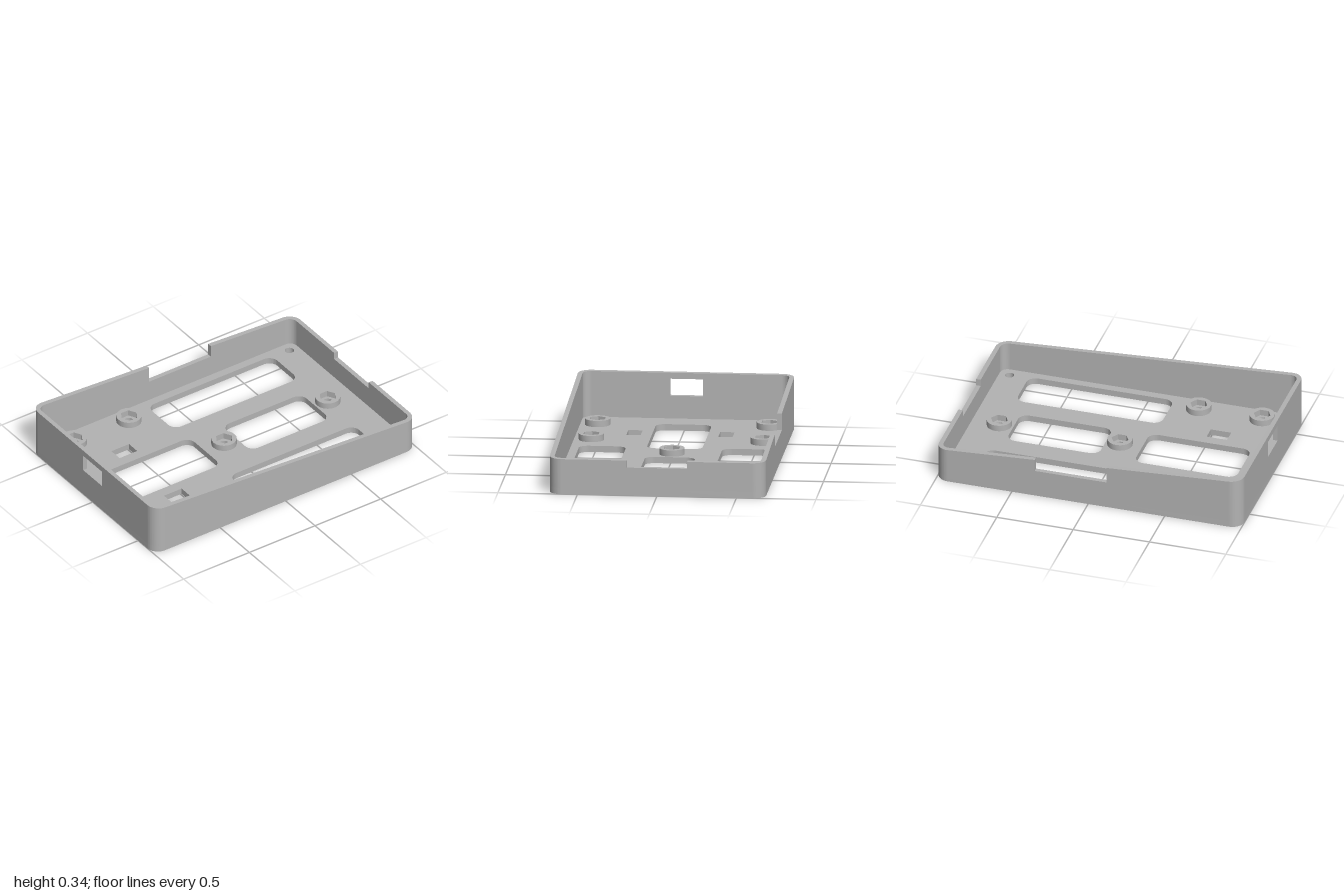
import * as THREE from 'three';
import { toCreasedNormals } from 'three/addons/utils/BufferGeometryUtils.js';

const HX = 1, HZ = 0.68;          // half length and half depth
const R = 0.08, WALL = 0.03;      // corner radius, wall thickness
const FLOOR = 0.04, BOSS_TOP = 0.08, NOTCH = 0.18;
const rimHeight = (x) => 0.28 - 0.055 * x;

const extrude = (shape, depth) =>
  new THREE.ExtrudeGeometry(shape, { depth, bevelEnabled: false, curveSegments: 10 });

// plan outline lying flat, raised between two heights
const slab = (shape, y0, y1) =>
  extrude(shape, y1 - y0).rotateX(-Math.PI / 2).translate(0, y0, 0);

function roundedRect(path, x0, z0, x1, z1, r) {
  path.absarc(x1 - r, z1 - r, r, 0, Math.PI / 2);
  path.absarc(x0 + r, z1 - r, r, Math.PI / 2, Math.PI);
  path.absarc(x0 + r, z0 + r, r, Math.PI, Math.PI * 1.5);
  path.absarc(x1 - r, z0 + r, r, Math.PI * 1.5, Math.PI * 2);
  path.closePath();
  return path;
}

const polygon = (pts, Type = THREE.Shape) => new Type(pts.map(([x, y]) => new THREE.Vector2(x, y)));
const rectPts = (x0, y0, x1, y1) => [[x0, y0], [x1, y0], [x1, y1], [x0, y1]];
const circle = (x, y, r) => new THREE.Path().absarc(x, y, r, 0, Math.PI * 2);

// move every vertex above the given level onto the sloping rim
function slopeTop(geometry, level) {
  const p = geometry.attributes.position;
  for (let i = 0; i < p.count; i++) if (p.getY(i) > level) p.setY(i, rimHeight(p.getX(i)));
  return geometry;
}

export function createModel() {
  const model = new THREE.Group();
  model.name = 'enclosureBase';
  const grey = new THREE.MeshStandardMaterial({ color: 0xb3b3b3 });
  grey.name = 'grey plastic';

  const add = (name, geometry) => {
    const mesh = new THREE.Mesh(toCreasedNormals(geometry, 0.5), grey);
    mesh.name = name;
    model.add(mesh);
  };

  const bosses = [[-0.765, 0.54], [-0.765, -0.54], [-0.35, 0.54], [-0.35, -0.54], [0, 0], [0.79, 0]];

  // floor plate with its openings
  const floor = roundedRect(new THREE.Shape(), -HX, -HZ, HX, HZ, R);
  const opening = (...box) => floor.holes.push(roundedRect(new THREE.Path(), ...box, 0.06));
  opening(-0.81, -0.175, -0.143, 0.175);
  opening(0.093, -0.158, 0.698, 0.158);
  for (const s of [-1, 1]) {
    const z = 0.45 * s;
    opening(-0.173, z - 0.147, 0.778, z + 0.147);
    floor.holes.push(polygon(rectPts(-0.626, 0.289 * s - 0.045, -0.492, 0.289 * s + 0.045), THREE.Path));
    for (const x of [-0.902, 0.902]) floor.holes.push(circle(x, 0.583 * s, 0.029));
  }
  for (const [x, z] of bosses) floor.holes.push(circle(x, z, 0.029));
  add('floor', slab(floor, 0, FLOOR));

  // raised bosses with hexagonal nut recesses
  const hex = Array.from({ length: 6 }, (_, i) =>
    [0.055 * Math.cos(i * Math.PI / 3), 0.055 * Math.sin(i * Math.PI / 3)]);
  for (const [x, z] of bosses) {
    const ring = new THREE.Shape().absarc(0, 0, 0.08, 0, Math.PI * 2);
    ring.holes.push(polygon(hex, THREE.Path));
    add('nutBoss', slab(ring, FLOOR, BOSS_TOP).translate(x, 0, z));
  }

  // front wall, and back wall with a notch in its rim
  const a = HX - R, b = HZ - R;
  const ends = [[-a, FLOOR], [a, FLOOR], [a, rimHeight(a)]];
  const notch = [[0.35, rimHeight(0.35)], [0.35, NOTCH], [-0.12, NOTCH], [-0.12, rimHeight(-0.12)]];
  add('frontWall', extrude(polygon([...ends, [-a, rimHeight(-a)]]), WALL).translate(0, 0, HZ - WALL));
  add('backWall', extrude(polygon([...ends, ...notch, [-a, rimHeight(-a)]]), WALL).translate(0, 0, -HZ));

  // tall end wall with a window
  const tall = polygon(rectPts(-b, FLOOR, b, 0.33));
  tall.holes.push(polygon(rectPts(-0.104, 0.185, 0.104, 0.295), THREE.Path));
  add('tallEndWall', slopeTop(extrude(tall, WALL).rotateY(Math.PI / 2).translate(-HX, 0, 0), 0.31));

  // low end wall with a notch
  const low = polygon([[-b, FLOOR], [b, FLOOR], [b, 0.22], [0.19, 0.22], [0.19, NOTCH],
    [-0.19, NOTCH], [-0.19, 0.22], [-b, 0.22]]);
  add('lowEndWall', slopeTop(extrude(low, WALL).rotateY(Math.PI / 2).translate(HX - WALL, 0, 0), 0.2));

  // rounded corners joining the walls
  for (let k = 0; k < 4; k++) {
    const start = k * Math.PI / 2, end = start + Math.PI / 2;
    const cx = k === 0 || k === 3 ? a : -a, cz = k < 2 ? b : -b;
    const corner = new THREE.Shape();
    corner.absarc(cx, cz, R, start, end, false);
    corner.absarc(cx, cz, R - WALL, end, start, true);
    corner.closePath();
    add('cornerWall', slopeTop(slab(corner, FLOOR, 0.2), 0.1));
  }
  return model;
}
